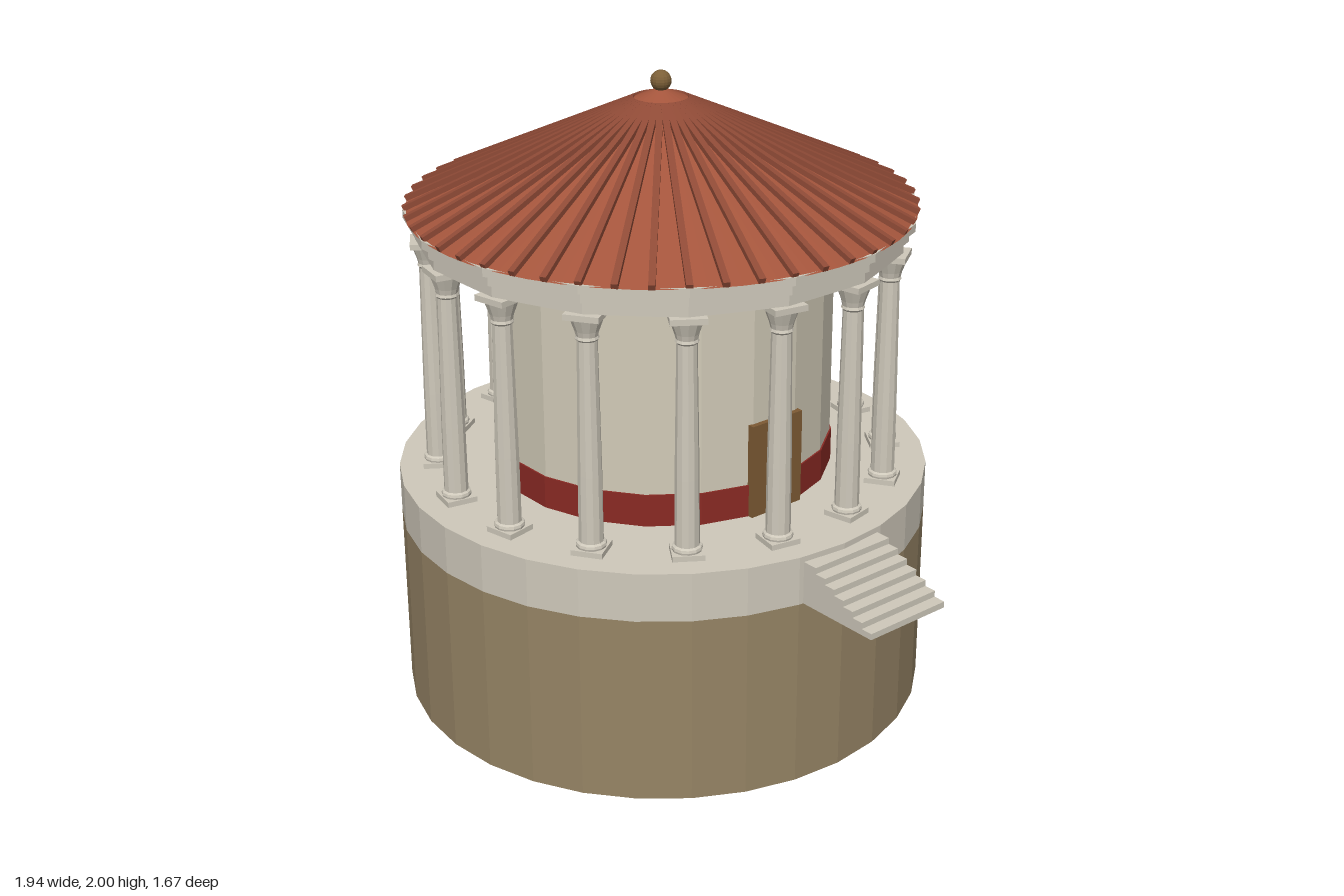
import * as THREE from 'three';

const AXIS_X = -0.135; // the round building sits left of centre to make room for the steps
const COLUMNS = 16;
const RIBS = 48;

const paint = (color) => new THREE.MeshStandardMaterial({ color, flatShading: true });

export function createModel() {
  const stone = paint(0xcfc9bb);
  const wall = paint(0xd2cbb8);
  const earth = paint(0x968465);
  const red = paint(0x8a2a24);
  const tile = paint(0xa4553c);
  const ribTile = paint(0x8f4a36);
  const wood = paint(0x7d5a34);
  const bronze = paint(0x7d6038);

  const model = new THREE.Group();
  model.name = 'roundTemple';
  const temple = new THREE.Group();
  temple.name = 'temple';
  temple.position.x = AXIS_X;
  model.add(temple);

  function add(parent, name, geometry, material, x = 0, y = 0, z = 0) {
    const mesh = new THREE.Mesh(geometry, material);
    mesh.name = name;
    mesh.position.set(x, y, z);
    parent.add(mesh);
    return mesh;
  }
  // Upright cylinder or cone between two heights
  function drum(name, rBottom, rTop, y0, y1, sides, material, parent = temple) {
    const geometry = new THREE.CylinderGeometry(rTop, rBottom, y1 - y0, sides);
    return add(parent, name, geometry, material, 0, (y0 + y1) / 2, 0);
  }

  // Foundation and podium
  drum('foundation', 0.837, 0.837, 0, 0.6, 32, earth);
  drum('podium', 0.837, 0.837, 0.6, 0.753, 32, stone);

  // Inner chamber with painted band and door
  const turn = Math.PI / 20;
  drum('chamberWall', 0.53, 0.53, 0.753, 1.59, 20, wall).rotation.y = turn;
  drum('paintedBand', 0.535, 0.535, 0.753, 0.855, 20, red).rotation.y = turn;
  add(temple, 'door', new THREE.BoxGeometry(0.06, 0.297, 0.196), wood, 0.51, 0.9015, 0);

  // Columns
  const shaftProfile = [
    [0, 0.768], [0.044, 0.768], [0.046, 0.776], [0.044, 0.784], [0.037, 0.788],
    [0.036, 1.0], [0.03, 1.41], [0.035, 1.416], [0.032, 1.424],
    [0.036, 1.44], [0.051, 1.482], [0, 1.482],
  ].map(([r, y]) => new THREE.Vector2(r, y));
  const shaft = new THREE.LatheGeometry(shaftProfile, 12);
  const plinth = new THREE.BoxGeometry(0.096, 0.018, 0.096);
  const abacus = new THREE.BoxGeometry(0.106, 0.018, 0.106);
  for (let i = 0; i < COLUMNS; i++) {
    const arm = new THREE.Group();
    arm.name = 'column';
    arm.rotation.y = ((i + 0.5) * 2 * Math.PI) / COLUMNS;
    temple.add(arm);
    add(arm, 'plinth', plinth, stone, 0.713, 0.761, 0);
    add(arm, 'shaft', shaft, stone, 0.713, 0, 0);
    add(arm, 'abacus', abacus, stone, 0.713, 1.489, 0);
  }

  // Stepped ring of beams, its corners above the columns
  const beamProfile = [
    [0.665, 1.497], [0.75, 1.497], [0.75, 1.535], [0.765, 1.535], [0.765, 1.568],
    [0.784, 1.568], [0.784, 1.593], [0.665, 1.593], [0.665, 1.497],
  ].map(([r, y]) => new THREE.Vector2(r, y));
  add(temple, 'entablature',
    new THREE.LatheGeometry(beamProfile, COLUMNS, Math.PI / COLUMNS), stone);

  // Conical roof with tile ribs
  drum('roof', 0.78, 0.07, 1.59, 1.911, RIBS, tile);
  const low = new THREE.Vector2(0.781, 1.597);
  const high = new THREE.Vector2(0.08, 1.913);
  const ribGeometry = new THREE.BoxGeometry(low.distanceTo(high), 0.018, 0.02);
  for (let i = 0; i < RIBS; i++) {
    const arm = new THREE.Group();
    arm.name = 'roofRib';
    arm.rotation.y = ((i + 0.5) * 2 * Math.PI) / RIBS;
    temple.add(arm);
    const rib = add(arm, 'rib', ribGeometry, ribTile, (low.x + high.x) / 2, (low.y + high.y) / 2, 0);
    rib.rotation.z = Math.atan2(low.y - high.y, low.x - high.x);
  }

  // Crown and finial
  drum('roofCrown', 0.083, 0.02, 1.915, 1.942, 24, tile);
  add(temple, 'finial', new THREE.SphereGeometry(0.032, 16, 12), bronze, 0, 1.968, 0);

  // Entrance steps on the +x side
  const steps = 7, run = 0.0385, rise = 0.0193, end = 0.968;
  const side = new THREE.Shape();
  side.moveTo(0.66, 0.6);
  side.lineTo(end, 0.6);
  for (let i = 0; i < steps; i++) {
    const y = 0.6 + (i + 1) * rise;
    side.lineTo(end - i * run, y);
    side.lineTo(i === steps - 1 ? 0.66 : end - (i + 1) * run, y);
  }
  add(model, 'steps',
    new THREE.ExtrudeGeometry(side, { depth: 0.296, bevelEnabled: false }), stone, 0, 0, -0.148);

  return model;
}
